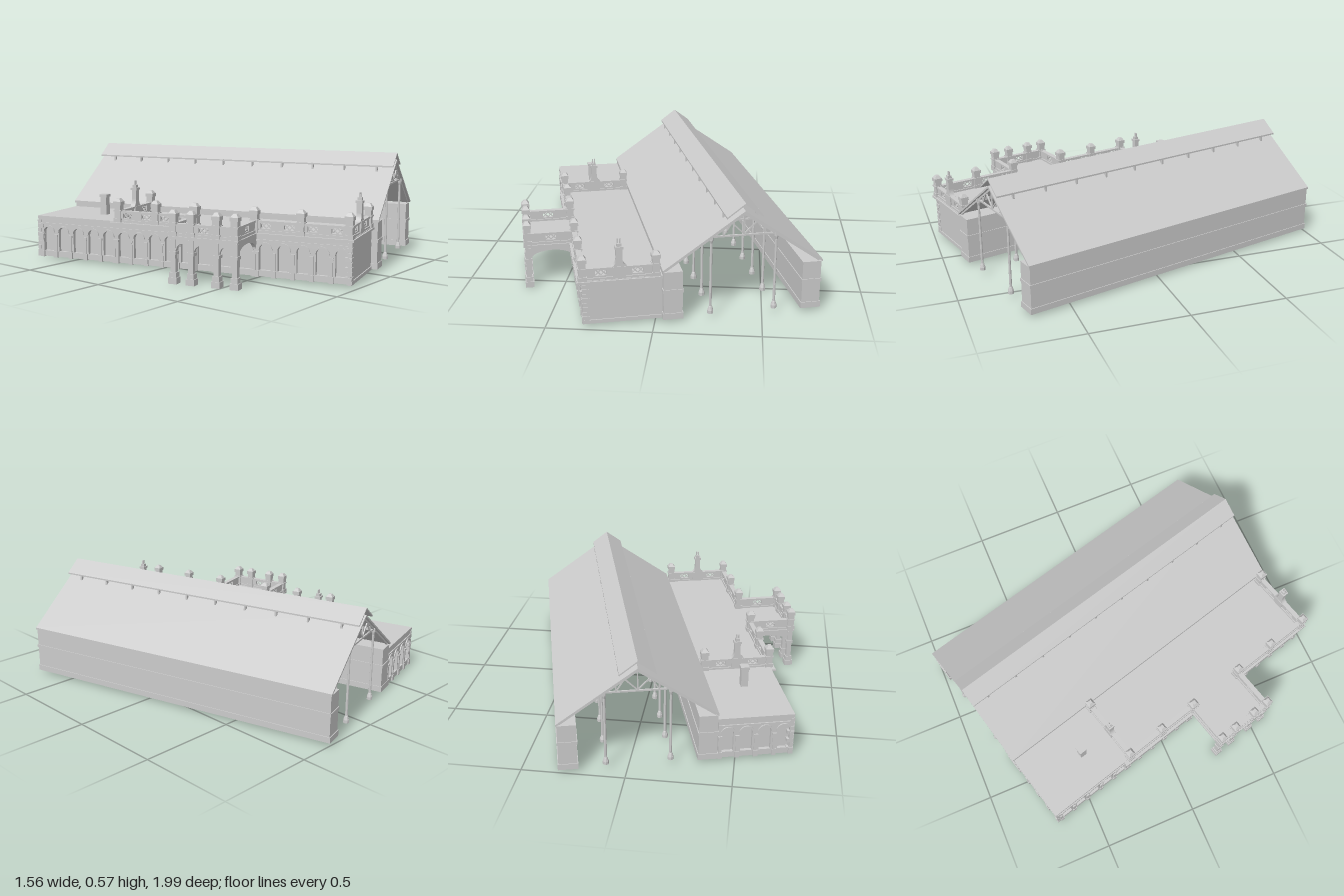
import * as THREE from 'three';

const mat = new THREE.MeshStandardMaterial({ color: 0xcccccc, flatShading: true, side: THREE.DoubleSide });

function add(parent, name, geo, x = 0, y = 0, z = 0, ry = 0) {
  const m = new THREE.Mesh(geo, mat);
  m.name = name;
  m.position.set(x, y, z);
  m.rotation.y = ry;
  parent.add(m);
  return m;
}

// Box given by its extents
function box(parent, name, x0, x1, y0, y1, z0, z1) {
  return add(parent, name, new THREE.BoxGeometry(x1 - x0, y1 - y0, z1 - z0),
    (x0 + x1) / 2, (y0 + y1) / 2, (z0 + z1) / 2);
}

// Straight bar in the xy plane
function bar(parent, name, x0, y0, x1, y1, z, t) {
  const m = add(parent, name, new THREE.BoxGeometry(Math.hypot(x1 - x0, y1 - y0), t, t), (x0 + x1) / 2, (y0 + y1) / 2, z);
  m.rotation.z = Math.atan2(y1 - y0, x1 - x0);
  return m;
}

function polygon(points) {
  return new THREE.Shape(points.map(p => new THREE.Vector2(p[0], p[1])));
}

function extrude(shape, depth) {
  return new THREE.ExtrudeGeometry(shape, { depth, bevelEnabled: false, curveSegments: 8 });
}

// Outline of an arch: straight jambs and a (semi-)elliptical head
function archPath(cx, w, y0, spring, rise) {
  const p = new THREE.Path();
  p.moveTo(cx - w / 2, y0);
  p.lineTo(cx + w / 2, y0);
  p.lineTo(cx + w / 2, spring);
  p.absellipse(cx, spring, w / 2, rise, 0, Math.PI, false);
  p.lineTo(cx - w / 2, y0);
  return p;
}

// Wall layer with a row of arched recesses, running along local x from 0
function arcade(parent, name, len, n, x, z, ry) {
  const g = new THREE.Group();
  g.name = name;
  g.position.set(x, 0, z);
  g.rotation.y = ry;
  const wall = polygon([[0, 0.015], [len, 0.015], [len, 0.215], [0, 0.215]]);
  const step = len / n, w = step * 0.62;
  for (let i = 0; i < n; i++) {
    const cx = (i + 0.5) * step;
    wall.holes.push(archPath(cx, w, 0.045, 0.175 - w / 2, w / 2));
    // raised arch moulding
    const ring = new THREE.Shape();
    ring.absarc(cx, 0.175 - w / 2, w / 2 + 0.009, 0, Math.PI, false);
    ring.absarc(cx, 0.175 - w / 2, w / 2, Math.PI, 0, true);
    add(g, 'archMoulding', extrude(ring, 0.006), 0, 0, 0.018);
  }
  add(g, 'arcadeWall', extrude(wall, 0.018));
  for (let i = 0; i <= n; i++) {
    const px = Math.min(Math.max(i * step, 0.008), len - 0.008);
    box(g, 'pilasterBase', px - 0.011, px + 0.011, 0.012, 0.045, 0, 0.026);
    box(g, 'pilaster', px - 0.007, px + 0.007, 0.045, 0.125, 0, 0.023);
    box(g, 'pilasterCapital', px - 0.01, px + 0.01, 0.125, 0.135, 0, 0.026);
  }
  box(g, 'stringCourse', 0, len, 0.188, 0.196, 0, 0.024);
  parent.add(g);
}

// Parapet post with a domed cap
function pedestal(parent, x, z, ry = 0) {
  const g = new THREE.Group();
  g.name = 'parapetPost';
  g.position.set(x, 0, z);
  g.rotation.y = ry;
  box(g, 'postShaft', -0.017, 0.017, 0.23, 0.32, -0.017, 0.017);
  box(g, 'postFoot', -0.021, 0.021, 0.23, 0.25, -0.021, 0.021);
  box(g, 'postMoulding', -0.021, 0.021, 0.285, 0.293, -0.021, 0.021);
  box(g, 'postCap', -0.021, 0.021, 0.318, 0.336, -0.021, 0.021);
  add(g, 'postDome', new THREE.CylinderGeometry(0.012, 0.027, 0.016, 4), 0, 0.344, 0, Math.PI / 4);
  parent.add(g);
}

// Openwork parapet from a to b; panels are pierced with a diamond lattice
function parapet(parent, a, b, panels, centre) {
  const dx = b[0] - a[0], dz = b[1] - a[1], len = Math.hypot(dx, dz);
  const g = new THREE.Group();
  g.name = 'parapet';
  g.position.set(a[0], 0, a[1]);
  g.rotation.y = Math.atan2(-dz, dx);
  const wall = polygon([[0, 0.23], [len, 0.23], [len, 0.282], [0, 0.282]]);
  for (let i = 0; i < panels; i++) {
    const cx = (i + 0.5) * len / panels, w = 0.026, y = 0.263, h = 0.013;
    wall.holes.push(new THREE.Path(polygon([[cx - w, y - h], [cx + w, y - h], [cx + w, y + h], [cx - w, y + h]]).getPoints()));
    for (const s of [-1, 1]) {
      bar(g, 'lattice', cx - w, y - h * s, cx, y + h * s, 0, 0.005);
      bar(g, 'lattice', cx, y + h * s, cx + w, y - h * s, 0, 0.005);
    }
  }
  add(g, 'piercedPanel', extrude(wall, 0.016), 0, 0, -0.008);
  box(g, 'baseRail', 0, len, 0.228, 0.242, -0.014, 0.014);
  box(g, 'coping', 0, len, 0.28, 0.289, -0.013, 0.013);
  pedestal(g, 0, 0);
  pedestal(g, len, 0);
  if (centre === 'post') pedestal(g, len / 2, 0);
  if (centre === 'finial') {
    const s = new THREE.Shape();
    s.moveTo(-0.05, 0.285);
    s.quadraticCurveTo(-0.018, 0.288, -0.015, 0.325);
    s.lineTo(-0.015, 0.375);
    s.lineTo(0.015, 0.375);
    s.lineTo(0.015, 0.325);
    s.quadraticCurveTo(0.018, 0.288, 0.05, 0.285);
    add(g, 'scrolledGable', extrude(s, 0.026), len / 2, 0, -0.013);
    box(g, 'gableBase', len / 2 - 0.03, len / 2 + 0.03, 0.23, 0.29, -0.016, 0.016);
    box(g, 'finialCap', len / 2 - 0.019, len / 2 + 0.019, 0.375, 0.387, -0.017, 0.017);
    box(g, 'finialTop', len / 2 - 0.011, len / 2 + 0.011, 0.387, 0.402, -0.011, 0.011);
    for (const d of [-0.006, 0.006]) box(g, 'finialPin', len / 2 + d - 0.003, len / 2 + d + 0.003, 0.4, 0.425, -0.003, 0.003);
  }
  parent.add(g);
}

function trainShed(root) {
  const g = new THREE.Group();
  g.name = 'shed';
  const C = 0.186, Z = 0.886;
  // thin folded roof
  const fold = (name, half, eave, ridge, t) => add(g, name, extrude(polygon([
    [-half, eave], [-half, eave - t], [0, ridge - t], [half, eave - t], [half, eave], [0, ridge]]), 2 * Z), C, 0, -Z);
  fold('mainRoof', 0.383, 0.265, 0.533, 0.011);
  fold('ridgeVentRoof', 0.086, 0.506, 0.57, 0.008);
  for (const s of [-1, 1]) {
    // long side ranges with plinth, band and top course
    const range = (name, y0, y1, o) => {
      const a = C + s * (0.289 - o), b = C + s * (0.379 + o);
      box(g, name, Math.min(a, b), Math.max(a, b), y0, y1, -Z + 0.005 - o, Z - 0.005 + o);
    };
    range('sideRange', 0.015, 0.254, 0);
    range('plinth', 0.015, 0.045, 0.004);
    range('band', 0.15, 0.166, 0.004);
    // brackets below the ridge vent
    for (let i = 0; i < 10; i++) {
      const z = -0.793 + i * 0.1765, x = C + s * 0.078;
      box(g, 'ventBracket', x - 0.007, x + 0.007, 0.47, 0.507, z - 0.005, z + 0.005);
    }
    box(g, 'purlin', C + s * 0.155 - 0.006, C + s * 0.155 + 0.006, 0.4, 0.416, -0.88, 0.88);
  }
  // columns and roof trusses
  const column = new THREE.LatheGeometry([[0, 0.025], [0.015, 0.025], [0.015, 0.04], [0.009, 0.058], [0.007, 0.062],
    [0.006, 0.38], [0.01, 0.395], [0.01, 0.416], [0, 0.416]].map(p => new THREE.Vector2(p[0], p[1])), 8);
  for (let i = 0; i < 10; i++) {
    const z = -0.87 + i * 0.1933;
    bar(g, 'tieBeam', C - 0.155, 0.411, C + 0.155, 0.411, z, 0.008);
    bar(g, 'kingPost', C, 0.411, C, 0.525, z, 0.006);
    for (const s of [-1, 1]) {
      add(g, 'column', column, C + s * 0.155, 0, z);
      bar(g, 'rafter', C + s * 0.37, 0.258, C, 0.515, z, 0.009);
      bar(g, 'strut', C, 0.415, C + s * 0.06, 0.475, z, 0.006);
      bar(g, 'strut', C + s * 0.1, 0.411, C + s * 0.06, 0.475, z, 0.006);
      bar(g, 'strut', C + s * 0.1, 0.411, C + s * 0.1, 0.448, z, 0.006);
    }
  }
  root.add(g);
}

function stationBuilding(root) {
  const g = new THREE.Group();
  g.name = 'building';
  const F = -0.545;
  box(g, 'body', F, -0.19, 0.012, 0.22, -0.858, 0.85);
  box(g, 'rearRoof', -0.566, -0.19, 0.215, 0.232, -0.88, -0.39);
  box(g, 'roof', -0.575, -0.19, 0.215, 0.232, -0.4, 0.858);
  box(g, 'cornice', -0.59, -0.205, 0.219, 0.229, -0.425, 0.866);
  box(g, 'frontPlinth', -0.568, -0.2, 0.012, 0.03, 0.84, 0.855);
  // arcaded rear and long fronts
  arcade(g, 'rearArcade', 0.365, 4, -0.198, -0.858, Math.PI);
  arcade(g, 'sideArcade', 0.46, 5, F, -0.86, -Math.PI / 2);
  arcade(g, 'sideArcade', 0.446, 5, F, -0.4, -Math.PI / 2);
  arcade(g, 'entranceWall', 0.33, 3, F, 0.046, -Math.PI / 2);
  arcade(g, 'sideArcade', 0.474, 5, F, 0.376, -Math.PI / 2);
  // alternating corner stones
  for (let i = 0; i < 8; i++) {
    const w = i % 2 ? 0.02 : 0.034, y = 0.03 + i * 0.023;
    box(g, 'cornerStone', -0.568, -0.568 + w, y, y + 0.019, 0.853 - w, 0.854);
    box(g, 'cornerStone', -0.568, -0.568 + w, y, y + 0.019, -0.88, -0.88 + w);
  }
  // chimney
  box(g, 'chimney', -0.403, -0.367, 0.23, 0.335, -0.588, -0.552);
  box(g, 'chimneyCap', -0.407, -0.363, 0.328, 0.342, -0.592, -0.548);
  // roof parapets
  parapet(g, [-0.56, -0.38], [-0.217, -0.38], 2, 'finial');
  parapet(g, [-0.56, -0.38], [-0.56, 0.05], 4, 'post');
  parapet(g, [-0.563, 0.372], [-0.563, 0.84], 4, 'post');
  parapet(g, [-0.563, 0.84], [-0.222, 0.84], 2, 'finial');
  root.add(g);
}

function porch(root) {
  const g = new THREE.Group();
  g.name = 'porch';
  const U = -0.797, posts = [0.055, 0.148, 0.278, 0.37];
  box(g, 'porchRoof', -0.808, -0.55, 0.212, 0.232, 0.044, 0.381);
  box(g, 'porchCornice', -0.818, -0.56, 0.219, 0.229, 0.034, 0.391);
  // stepped piers
  for (const z of posts) {
    for (const [r, y0, y1] of [[0.022, 0.0, 0.03], [0.018, 0.03, 0.055], [0.013, 0.055, 0.14], [0.018, 0.14, 0.155], [0.014, 0.155, 0.212]])
      box(g, 'pier', U - r, U + r, y0, y1, z - r, z + r);
  }
  // arched beams between the piers
  const beam = (len, x, z, ry) => {
    const s = polygon([[0, 0.15], [0, 0.215], [len, 0.215], [len, 0.15]]);
    s.lineTo(len - 0.014, 0.15);
    s.absellipse(len / 2, 0.15, len / 2 - 0.014, 0.044, 0, Math.PI, false);
    s.lineTo(0, 0.15);
    add(g, 'archedBeam', extrude(s, 0.018), x, 0, z, ry);
  };
  for (let i = 0; i < 3; i++) beam(posts[i + 1] - posts[i], U - 0.009 + 0.018, posts[i], -Math.PI / 2);
  for (const z of [posts[0], posts[3]]) beam(0.24, U, z - 0.009, 0);
  // parapets
  parapet(g, [U, 0.055], [U, 0.37], 1);
  for (const z of [posts[1], posts[2]]) pedestal(g, U, z);
  for (const z of [posts[0], posts[3]]) parapet(g, [U, z], [-0.563, z], 1);
  root.add(g);
}

export function createModel() {
  const root = new THREE.Group();
  root.name = 'station';
  const plan = new THREE.Group();
  plan.name = 'rotatedPlan';
  plan.rotation.y = 0.263;
  trainShed(plan);
  stationBuilding(plan);
  porch(plan);
  root.add(plan);
  return root;
}
